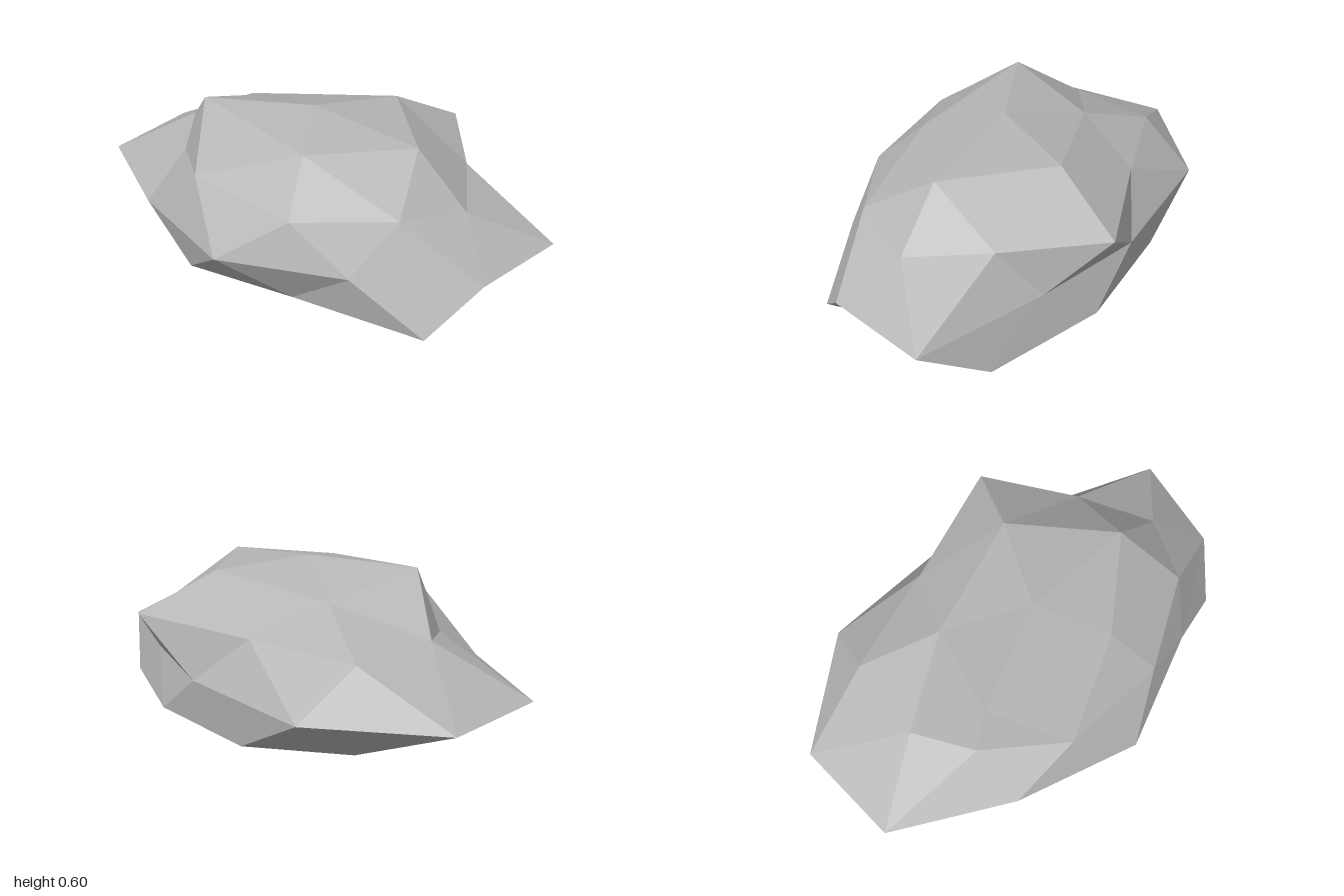
import * as THREE from 'three';

// Rings of the boulder, running from +x towards +z
const peak = [0.02, 0.603, 0.01];
const crown = [[0.515, 0.557, 0.01], [0.18, 0.54, 0.295], [-0.405, 0.593, 0.2],
  [-0.305, 0.5, -0.19], [0.19, 0.565, -0.345]];
const shoulder = [[0.74, 0.355, 0.01], [0.61, 0.397, 0.28], [0.26, 0.365, 0.485], [-0.205, 0.41, 0.487],
  [-0.5, 0.342, 0.24], [-0.65, 0.387, 0.015], [-0.62, 0.366, -0.345], [-0.18, 0.385, -0.475],
  [0.32, 0.41, -0.643], [0.573, 0.385, -0.29]];
const girth = [[0.92, 0.185], [0.505, 0.445], [0.02, 0.643], [-0.5, 0.48], [-0.98, 0.21], [-1, -0.25],
  [-0.575, -0.59], [0.03, -0.59], [0.485, -0.445], [1, -0.235]].map(([x, z]) => [x, 0.191, z]);
const base = [[0.705, 0, 0], [0.79, 0, 0.367], [0.24, 0, 0.445], [-0.225, 0, 0.525], [-0.595, 0, 0.29],
  [-0.71, 0.02, 0], [-0.58, 0, -0.31], [-0.24, 0, -0.57], [0.28, 0, -0.572], [0.76, 0, -0.387]];
const underside = [0, 0, 0];

export function createModel() {
  const positions = [];
  const tri = (a, b, c) => positions.push(...a, ...b, ...c);

  // Top: fan around the peak, then the crown joined to the shoulder
  for (let j = 0; j < 5; j++) {
    const a = crown[j], b = crown[(j + 1) % 5];
    const s0 = shoulder[2 * j], s1 = shoulder[2 * j + 1], s2 = shoulder[(2 * j + 2) % 10];
    tri(a, peak, b);
    tri(a, b, s1);
    tri(s0, a, s1);
    tri(s1, b, s2);
  }
  // Sides above and below the girth, and the flat underside
  for (let k = 0; k < 10; k++) {
    const n = (k + 1) % 10;
    tri(shoulder[k], shoulder[n], girth[k]);
    tri(girth[k], shoulder[n], girth[n]);
    tri(girth[k], girth[n], base[n]);
    tri(base[k], girth[k], base[n]);
    tri(base[k], base[n], underside);
  }

  const geometry = new THREE.BufferGeometry();
  geometry.setAttribute('position', new THREE.Float32BufferAttribute(positions, 3));
  geometry.computeVertexNormals(); // unshared corners give flat facets

  const stone = new THREE.MeshStandardMaterial({ color: 0xb4b4b4 });
  stone.name = 'stone grey';
  const rock = new THREE.Mesh(geometry, stone);
  rock.name = 'boulder';

  const group = new THREE.Group();
  group.name = 'rock';
  group.add(rock);
  return group;
}
